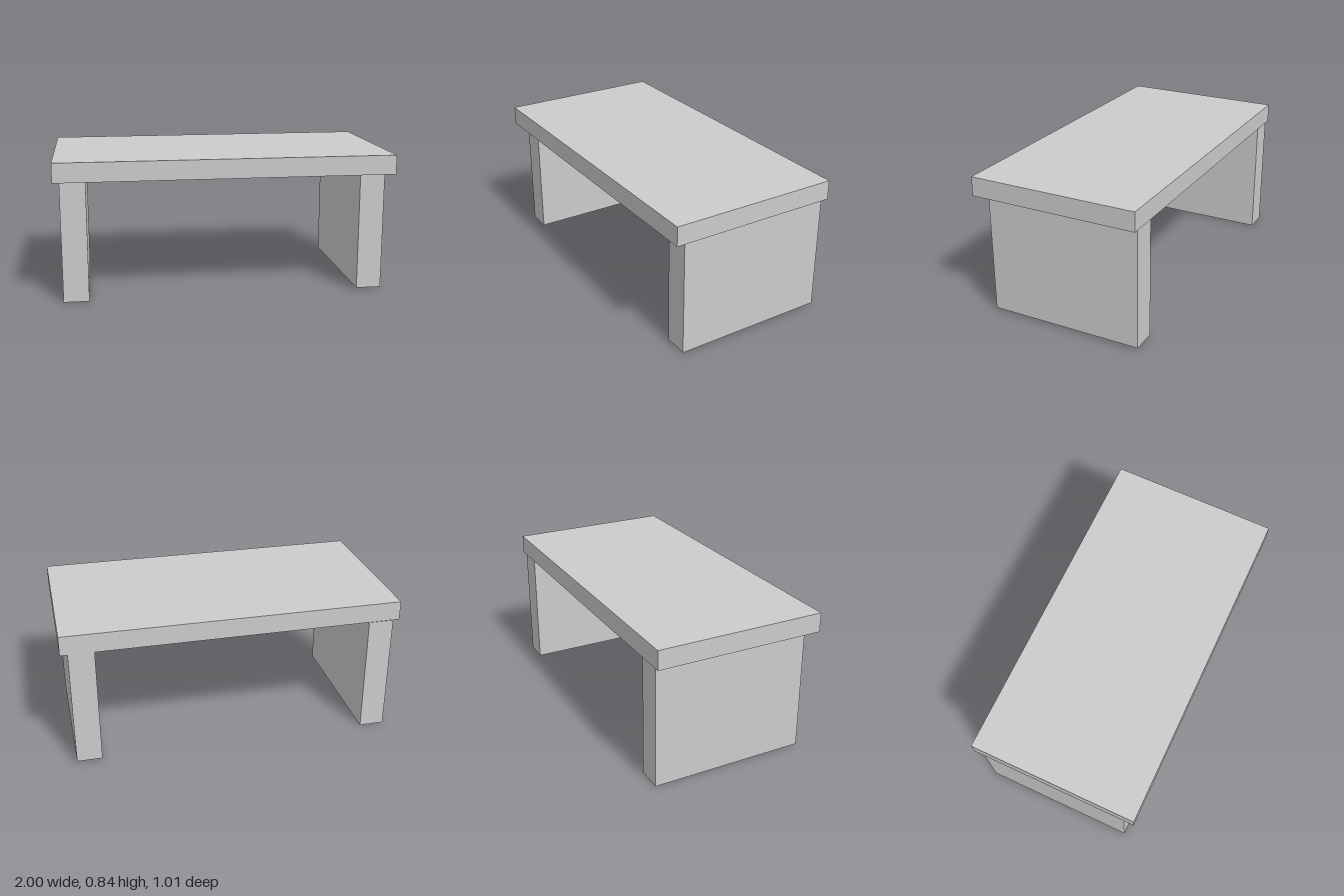
import * as THREE from 'three';

export function createModel() {
  const group = new THREE.Group();
  const material = new THREE.MeshStandardMaterial({ color: 0xcccccc, flatShading: true });

  // Adds a named box given its size and centre
  const addBox = (name, [w, h, d], [x, y, z]) => {
    const mesh = new THREE.Mesh(new THREE.BoxGeometry(w, h, d), material);
    mesh.name = name;
    mesh.position.set(x, y, z);
    group.add(mesh);
  };

  // Slab top
  addBox('tableTop', [2, 0.115, 1.014], [0, 0.7845, 0]);

  // Panel legs, flush with the back and set in at the front; the left one sits slightly higher
  const legSize = [0.15, 0.722, 0.932];
  addBox('rightLeg', legSize, [-0.89, 0.361, -0.035]);
  addBox('leftLeg', legSize, [0.882, 0.371, -0.035]);

  return group;
}
